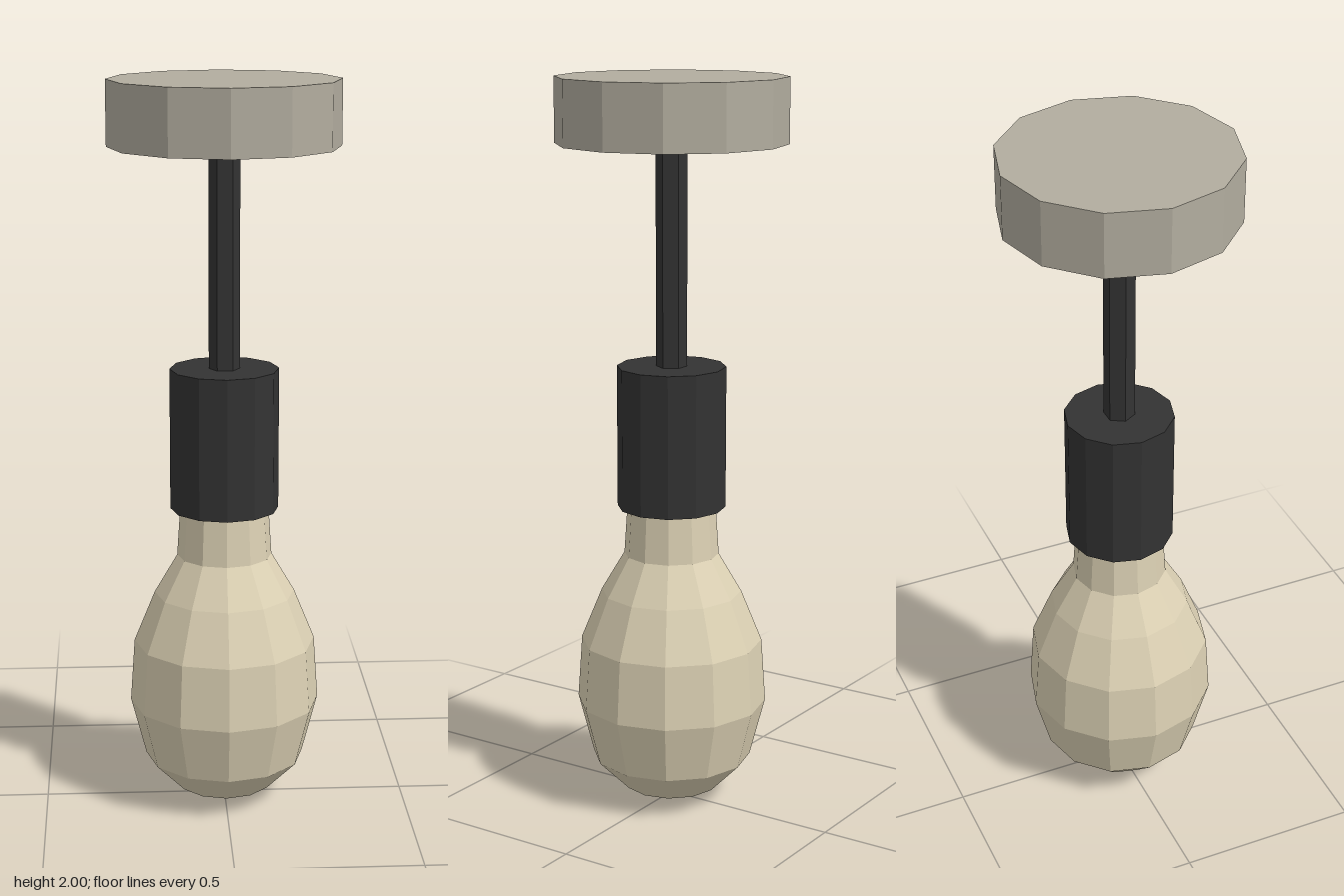
import * as THREE from 'three';

const flat = (name, color) => new THREE.MeshStandardMaterial({ name, color, flatShading: true });

export function createModel() {
  const canopyGrey = flat('canopy grey', 0xb2ad9f);
  const black = flat('black', 0x333333);
  const bulbCream = flat('bulb cream', 0xdcd1b4);

  const group = new THREE.Group();
  group.name = 'pendantLamp';

  const add = (name, geometry, material) => {
    const mesh = new THREE.Mesh(geometry, material);
    mesh.name = name;
    group.add(mesh);
    return mesh;
  };

  // Upright prism between two heights
  const prism = (name, radius, bottom, top, sides, material) => {
    const mesh = add(name, new THREE.CylinderGeometry(radius, radius, top - bottom, sides), material);
    mesh.position.y = (bottom + top) / 2;
    return mesh;
  };

  prism('ceilingCanopy', 0.31, 1.825, 2, 12, canopyGrey);
  prism('rod', 0.042, 1.22, 1.83, 6, black).rotation.y = Math.PI / 2;
  prism('socket', 0.148, 0.84, 1.23, 12, black);

  // Bulb, from the tip up to the neck inside the socket
  const profile = [
    [0, 0], [0.133, 0.035], [0.22, 0.123], [0.262, 0.285],
    [0.25, 0.46], [0.193, 0.6], [0.13, 0.707], [0.12, 0.86],
  ].map(([r, y]) => new THREE.Vector2(r, y));
  add('bulb', new THREE.LatheGeometry(profile, 12), bulbCream);

  return group;
}
